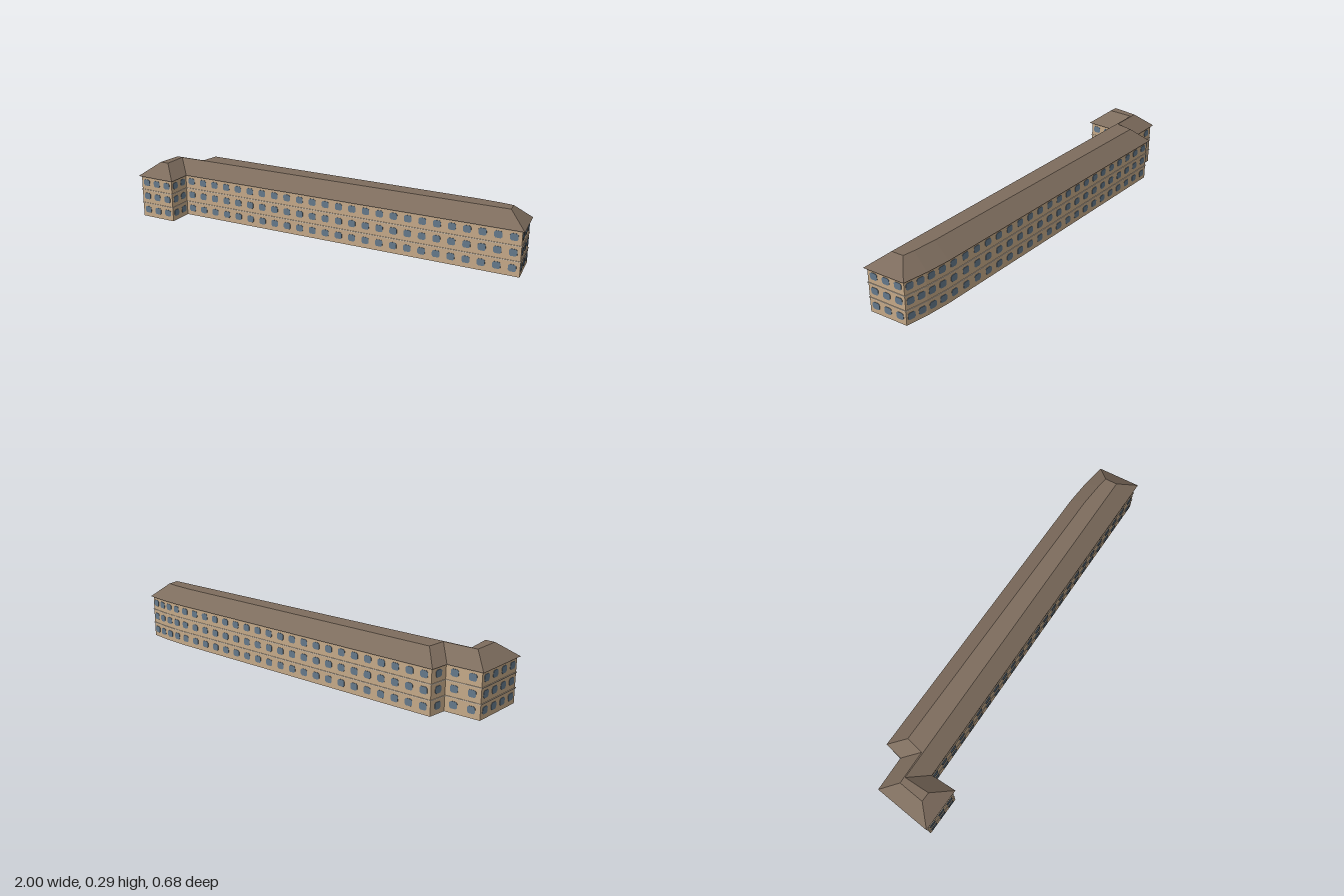
import * as THREE from 'three';
import { mergeGeometries } from 'three/addons/utils/BufferGeometryUtils.js';

const EAVE = 0.22, RIDGE = 0.288;

// Eaves outline as [x, z], clockwise seen from above
const EAVES = [
  [-1, 0.05], [-0.83, 0.018], [-0.83, -0.075], [0.7, -0.325], [0.82, -0.337],
  [0.94, -0.34], [1, -0.135], [-0.785, 0.18], [-0.76, 0.307], [-0.975, 0.34],
];

// Moves every edge of a loop inward by d (outward if negative)
function inset(loop, d) {
  const n = loop.length;
  const normal = (a, b) => new THREE.Vector2(a[1] - b[1], b[0] - a[0]).normalize();
  return loop.map((p, i) => {
    const n1 = normal(loop[(i + n - 1) % n], p);
    const n2 = normal(p, loop[(i + 1) % n]);
    const k = d / (1 + n1.dot(n2));
    return [p[0] + (n1.x + n2.x) * k, p[1] + (n1.y + n2.y) * k];
  });
}

// Faceted skin between two loops at two heights
function skin(low, y0, high, y1) {
  const pos = [];
  low.forEach((a, i) => {
    const j = (i + 1) % low.length;
    const b = low[j], c = high[j], d = high[i];
    pos.push(a[0], y0, a[1], d[0], y1, d[1], c[0], y1, c[1]);
    pos.push(a[0], y0, a[1], c[0], y1, c[1], b[0], y0, b[1]);
  });
  const g = new THREE.BufferGeometry();
  g.setAttribute('position', new THREE.Float32BufferAttribute(pos, 3));
  g.computeVertexNormals();
  return g;
}

const toPoints = (loop) => loop.map(([x, z]) => new THREE.Vector2(x, -z));

// Flat plate filling a loop, facing up
function plate(loop, y) {
  return new THREE.ShapeGeometry(new THREE.Shape(toPoints(loop))).rotateX(-Math.PI / 2).translate(0, y, 0);
}

// Thin ring running around the walls
function ring(loop, out, y, h) {
  const shape = new THREE.Shape(toPoints(inset(loop, -out)));
  shape.holes.push(new THREE.Path(toPoints(loop)));
  return new THREE.ExtrudeGeometry(shape, { depth: h, bevelEnabled: false })
    .rotateX(-Math.PI / 2).translate(0, y, 0);
}

// Window pane with clipped corners, centred on the wall plane
function pane(w, h, c) {
  const x = w / 2, y = h / 2;
  const shape = new THREE.Shape([
    [-x + c, -y], [x - c, -y], [x, -y + c], [x, y - c],
    [x - c, y], [-x + c, y], [-x, y - c], [-x, -y + c],
  ].map(([u, v]) => new THREE.Vector2(u, v)));
  return new THREE.ExtrudeGeometry(shape, { depth: 0.004, bevelEnabled: false }).translate(0, 0, -0.002);
}

export function createModel() {
  const material = (name, color, side = THREE.FrontSide) => {
    const m = new THREE.MeshStandardMaterial({ color, side });
    m.name = name;
    return m;
  };
  const wallMat = material('tan plaster', 0xc4a887, THREE.DoubleSide);
  const roofMat = material('brown roof', 0x7d6c5d, THREE.DoubleSide);
  const glassMat = material('blue grey glass', 0x64788a);
  const trimMat = material('pale stone', 0xcdbfad);

  const model = new THREE.Group();
  model.name = 'longBuilding';
  const add = (name, geometry, mat, parent = model) => {
    const mesh = new THREE.Mesh(geometry, mat);
    mesh.name = name;
    parent.add(mesh);
  };

  // Walls, open underneath
  const walls = inset(EAVES, 0.011);
  add('walls', skin(walls, 0, walls, EAVE), wallMat);

  // Hipped roof with a flat top
  const roof = new THREE.Group();
  roof.name = 'roof';
  model.add(roof);
  const deck = inset(EAVES, 0.081);
  add('roofSlopes', skin(EAVES, EAVE, deck, RIDGE), roofMat, roof);
  add('roofDeck', plate(deck, RIDGE), roofMat, roof);
  add('roofSoffit', plate(EAVES, EAVE), roofMat, roof);

  // Bands between the floors and under the eaves
  [0.0715, 0.145, 0.2155].forEach((y, i) => {
    add('band' + (i + 1), ring(walls, 0.003, y, 0.004), trimMat);
  });

  // Three rows of evenly spaced windows on every wall
  const unit = pane(0.038, 0.034, 0.007);
  walls.forEach((a, i) => {
    const b = walls[(i + 1) % walls.length];
    const dx = b[0] - a[0], dz = b[1] - a[1];
    const count = Math.max(1, Math.round(Math.hypot(dx, dz) / 0.072));
    const turn = Math.atan2(dz, -dx);
    const panes = [];
    for (const y of [0.0395, 0.1135, 0.187]) {
      for (let k = 0; k < count; k++) {
        const t = (k + 0.5) / count;
        panes.push(unit.clone().rotateY(turn).translate(a[0] + dx * t, y, a[1] + dz * t));
      }
    }
    add('windows' + (i + 1), mergeGeometries(panes), glassMat);
  });

  return model;
}
